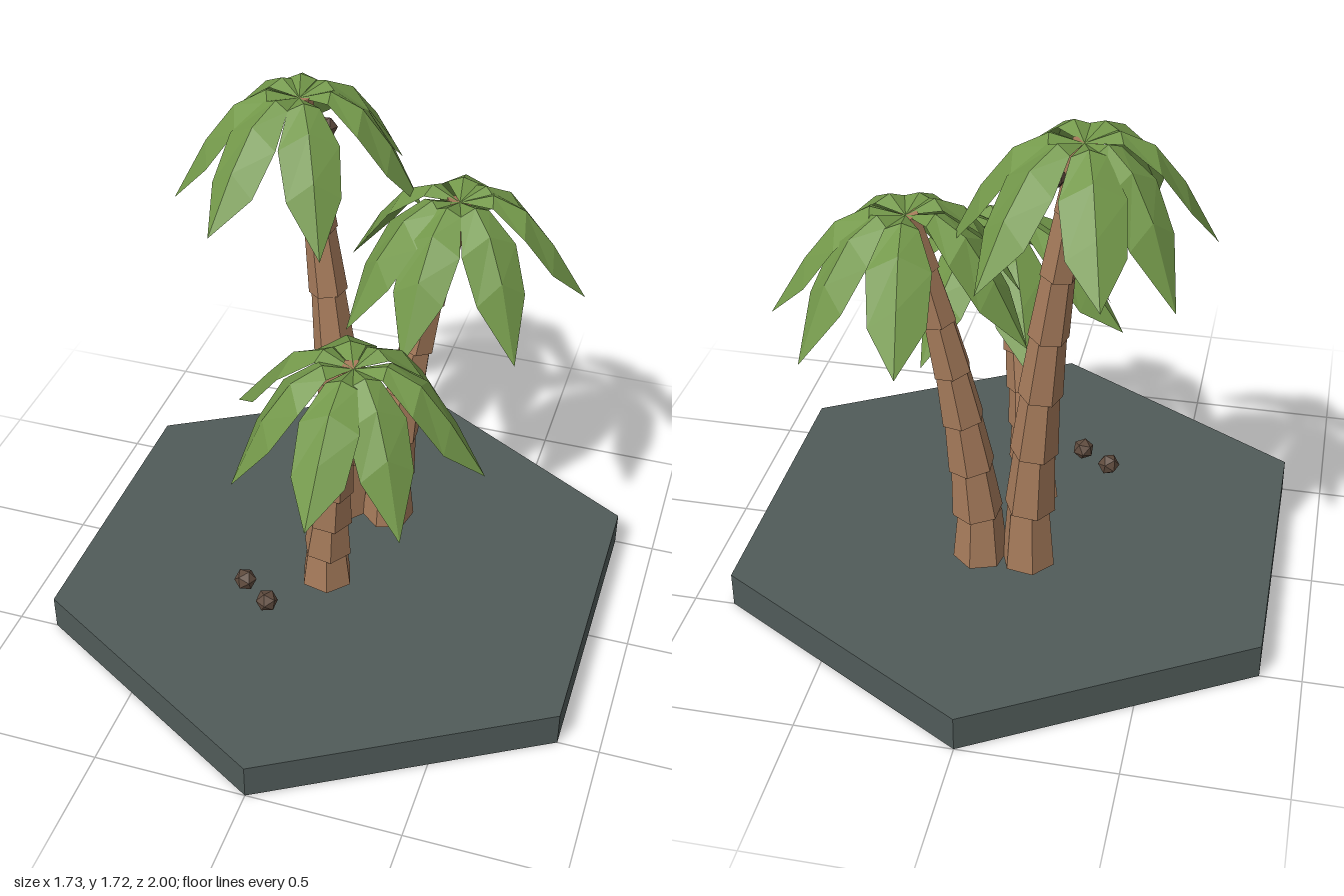
import * as THREE from 'three';

const material = (name, color, side = THREE.FrontSide) => {
  const m = new THREE.MeshStandardMaterial({ color, side });
  m.name = name;
  return m;
};

// Faceted normals for the low-poly look
function faceted(geometry) {
  const g = geometry.index ? geometry.toNonIndexed() : geometry;
  g.computeVertexNormals();
  return g;
}

function addMesh(parent, name, geometry, mat) {
  const mesh = new THREE.Mesh(geometry, mat);
  mesh.name = name;
  parent.add(mesh);
  return mesh;
}

// Folded leaf along +x: ridge in the middle, edges hanging lower
function leafGeometry(length, drop) {
  const rows = [ // radius fraction, ridge height, half width, edge sag
    [0, 0, 0, 0],
    [0.25, 0.03, 0.05, 0.02],
    [0.5, -0.02, 0.095, 0.05],
    [0.73, -0.14, 0.085, 0.06],
    [1, -drop, 0, 0],
  ].map(([f, y, w, sag]) => [[f * length, y - sag, -w], [f * length, y, 0], [f * length, y - sag, w]]);
  const pos = [];
  for (let i = 0; i < rows.length - 1; i++) {
    for (let j = 0; j < 2; j++) {
      const a = rows[i][j], b = rows[i][j + 1], c = rows[i + 1][j + 1], d = rows[i + 1][j];
      if (i > 0 ) pos.push(...a, ...b, ...c);
      if (i < rows.length - 2) pos.push(...a, ...c, ...d);
      else if (j === 1) continue;
    }
  }
  const g = new THREE.BufferGeometry();
  g.setAttribute('position', new THREE.Float32BufferAttribute(pos, 3));
  g.computeVertexNormals();
  return g;
}

export function createModel() {
  const model = new THREE.Group();
  model.name = 'palmIsland';
  const stone = material('slate', 0x505b59);
  const bark = material('bark', 0xa67b5b);
  const green = material('leafGreen', 0x73984a, THREE.DoubleSide);
  const nut = material('coconutBrown', 0x5f4b3e);

  // Hexagonal ground slab
  addMesh(model, 'groundSlab', faceted(new THREE.CylinderGeometry(1, 1, 0.12, 6)), stone).position.y = 0.06;

  const coconutGeometry = new THREE.IcosahedronGeometry(0.038, 0);
  const addCoconut = (parent, x, y, z, turn = 0.4) => {
    const c = addMesh(parent, 'coconut', coconutGeometry, nut);
    c.position.set(x, y, z);
    c.rotation.set(turn, turn * 2, 0);
  };

  // Leaves are [angle in degrees from +x towards +z, length]
  const palms = [
    { name: 'tallPalm', base: [-0.075, 0.14, -0.24], top: [-0.245, 1.69, -0.31], nut: [0.08, -0.1, -0.02],
      leaves: [[-106, 0.43], [-53, 0.41], [-7, 0.4], [63, 0.4], [114, 0.42], [160, 0.405], [218, 0.385]] },
    { name: 'middlePalm', base: [0.085, 0.14, -0.245], top: [0.28, 1.41, -0.31], nut: [0, -0.1, -0.075],
      leaves: [[-99, 0.43], [-48, 0.39], [-12, 0.415], [47, 0.385], [101, 0.385], [138, 0.39], [198, 0.41]] },
    { name: 'shortPalm', base: [-0.02, 0.14, 0.125], top: [0.106, 1.11, 0.24], nut: [0.06, -0.1, -0.02],
      leaves: [[-1, 0.42], [52, 0.39], [92, 0.43], [148, 0.39], [195, 0.435], [-113, 0.42], [-58, 0.39]] },
  ];
  const up = new THREE.Vector3(0, 1, 0);
  const segments = 7;

  palms.forEach((p, k) => {
    const palm = new THREE.Group();
    palm.name = p.name;
    model.add(palm);
    const base = new THREE.Vector3(...p.base), top = new THREE.Vector3(...p.top);

    // Trunk leans progressively towards its crown
    const at = (t) => new THREE.Vector3(
      base.x + (top.x - base.x) * t ** 1.7,
      base.y + (top.y - base.y) * t,
      base.z + (top.z - base.z) * t ** 1.5);
    for (let i = 0; i < segments; i++) {
      const a = at(i / segments), b = at((i + 1) / segments);
      const dir = b.clone().sub(a), h = dir.length();
      const r = 0.09 - 0.045 * i / segments;
      const g = new THREE.CylinderGeometry(r * 0.8, r, h, 6);
      g.rotateY(0.35 + k * 0.5 + i * 0.12);
      const seg = addMesh(palm, 'trunkSegment', faceted(g), bark);
      seg.position.copy(a).add(b).multiplyScalar(0.5);
      if (i > 0) seg.quaternion.setFromUnitVectors(up, dir.normalize());
      else seg.position.x = base.x;
    }

    // Crown of drooping leaves
    const crown = new THREE.Group();
    crown.name = 'crown';
    crown.position.copy(top);
    palm.add(crown);
    p.leaves.forEach(([deg, length]) => {
      const drop = 0.3 + (0.43 - length) * 1.8;
      addMesh(crown, 'leaf', leafGeometry(length, drop), green).rotation.y = -deg * Math.PI / 180;
    });
    addCoconut(crown, ...p.nut);
  });

  // Fallen coconuts
  addCoconut(model, -0.26, 0.183, 0.275);
  addCoconut(model, -0.157, 0.183, 0.35, 0.9);
  return model;
}
